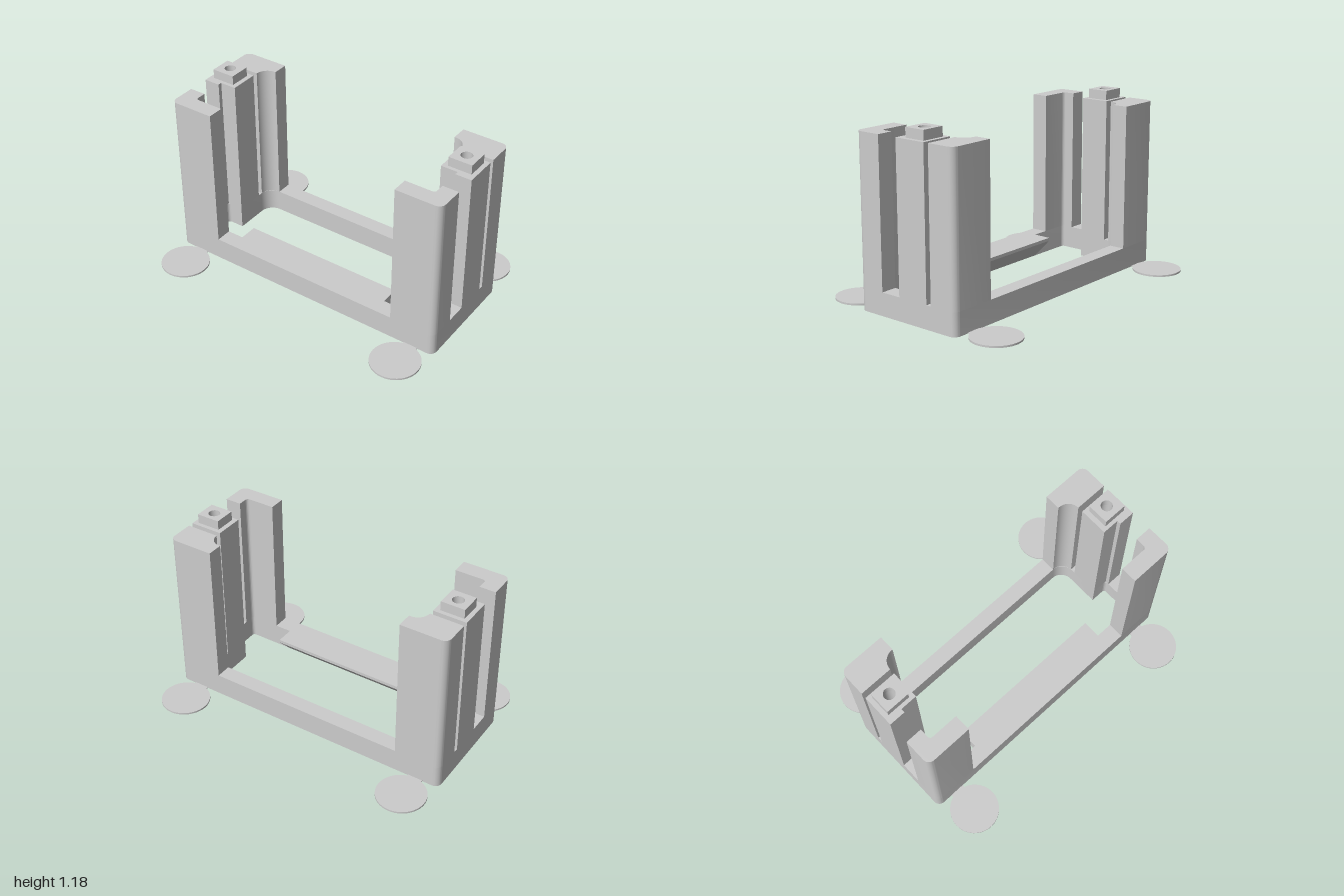
import * as THREE from 'three';
import { toCreasedNormals } from 'three/addons/utils/BufferGeometryUtils.js';

const BASE_H = 0.152, TOP = 1.122;

// Closed counter-clockwise outline from [x, z, cornerRadius] points, mirrored in x by m
function outline(points, m = 1, Type = THREE.Shape) {
  const path = new Type();
  const pts = points.map(([x, z, r = 0]) => ({ p: new THREE.Vector2(x * m, -z), r }));
  if (THREE.ShapeUtils.isClockWise(pts.map(({ p }) => p))) pts.reverse();
  const n = pts.length;
  pts.forEach(({ p, r }, i) => {
    const toward = (q, d) => p.clone().add(q.clone().sub(p).setLength(d));
    const prev = pts[(i + n - 1) % n].p, next = pts[(i + 1) % n].p;
    const a = toward(prev, r), b = toward(next, r);
    if (i === 0) path.moveTo(a.x, a.y); else path.lineTo(a.x, a.y);
    if (r > 0) {
      const c = toward(prev, r * 0.448), d = toward(next, r * 0.448);
      path.bezierCurveTo(c.x, c.y, d.x, d.y, b.x, b.y);
    }
  });
  path.closePath();
  return path;
}

function roundHole(x, z, r) {
  return new THREE.Path().absarc(x, -z, r, 0, Math.PI * 2, false);
}

// Upright prism from a plan outline
function prism(shape, y0, y1) {
  const g = new THREE.ExtrudeGeometry(shape, { depth: y1 - y0, bevelEnabled: false, curveSegments: 10 });
  g.rotateX(-Math.PI / 2).translate(0, y0, 0);
  return toCreasedNormals(g, 0.6);
}

export function createModel() {
  const model = new THREE.Group();
  model.name = 'bracketStand';
  const grey = new THREE.MeshStandardMaterial({ color: 0xcccccc });
  grey.name = 'plainGrey';
  const add = (name, geometry) => {
    const mesh = new THREE.Mesh(geometry, grey);
    mesh.name = name;
    model.add(mesh);
    return mesh;
  };

  // Base frame with stepped opening and two bolt holes
  const base = outline([[-1, -0.39, 0.045], [1, -0.39, 0.045], [1, 0.39, 0.045], [-1, 0.39, 0.045]]);
  base.holes.push(outline([
    [-0.777, -0.284, 0.09], [0.777, -0.284, 0.09], [0.777, 0.03], [0.89, 0.03, 0.02],
    [0.89, 0.28, 0.02], [-0.89, 0.28, 0.02], [-0.89, 0.03, 0.02], [-0.777, 0.03],
  ], 1, THREE.Path));
  for (const m of [1, -1]) base.holes.push(roundHole(m * 0.89, -0.07, 0.056));
  add('baseFrame', prism(base, 0, BASE_H));

  // Ledge on the front bar with a sloping underside (profile x runs along -z)
  const ledge = new THREE.Shape([
    [-0.28, 0], [-0.28, BASE_H], [-0.155, BASE_H], [-0.155, 0.13],
  ].map(([a, b]) => new THREE.Vector2(a, b)));
  const ledgeGeo = new THREE.ExtrudeGeometry(ledge, { depth: 1.14, bevelEnabled: false });
  ledgeGeo.translate(0, 0, -0.57).rotateY(Math.PI / 2);
  add('frontLedge', ledgeGeo);

  for (const m of [1, -1]) {
    const side = m > 0 ? 'left' : 'right';

    // Back corner post with filleted inner corner
    add(side + 'BackPost', prism(outline([
      [0.685, -0.39], [1, -0.39, 0.045], [1, -0.2], [0.777, -0.2],
      [0.777, -0.284, 0.083], [0.685, -0.284],
    ], m), BASE_H, TOP));

    // L-shaped front corner post
    add(side + 'FrontPost', prism(outline([
      [0.685, 0.39], [1, 0.39, 0.045], [1, 0.2], [0.89, 0.2], [0.89, 0.28, 0.02], [0.685, 0.28],
    ], m), BASE_H, TOP));

    // Middle column with bore
    const column = outline([
      [0.777, -0.165], [1, -0.165], [1, 0.057], [0.89, 0.057], [0.89, 0.03], [0.777, 0.03],
    ], m);
    column.holes.push(roundHole(m * 0.89, -0.07, 0.038));
    add(side + 'Column', prism(column, BASE_H, TOP));

    // Square peg on the column
    const peg = outline([[0.81, -0.138], [0.97, -0.138], [0.97, 0.006], [0.81, 0.006]], m);
    peg.holes.push(roundHole(m * 0.89, -0.07, 0.038));
    add(side + 'Peg', prism(peg, TOP, 1.185));

    // Thin round foot pads joined by narrow tabs
    for (const s of [1, -1]) {
      const end = s > 0 ? 'Front' : 'Back';
      add(side + end + 'Pad', new THREE.CylinderGeometry(0.162, 0.162, 0.012, 48))
        .position.set(m * 0.838, 0.006, s * 0.563);
      add(side + end + 'Tab', new THREE.BoxGeometry(0.1, 0.005, 0.06))
        .position.set(m * 0.838, 0.0025, s * 0.405);
    }
  }
  return model;
}
